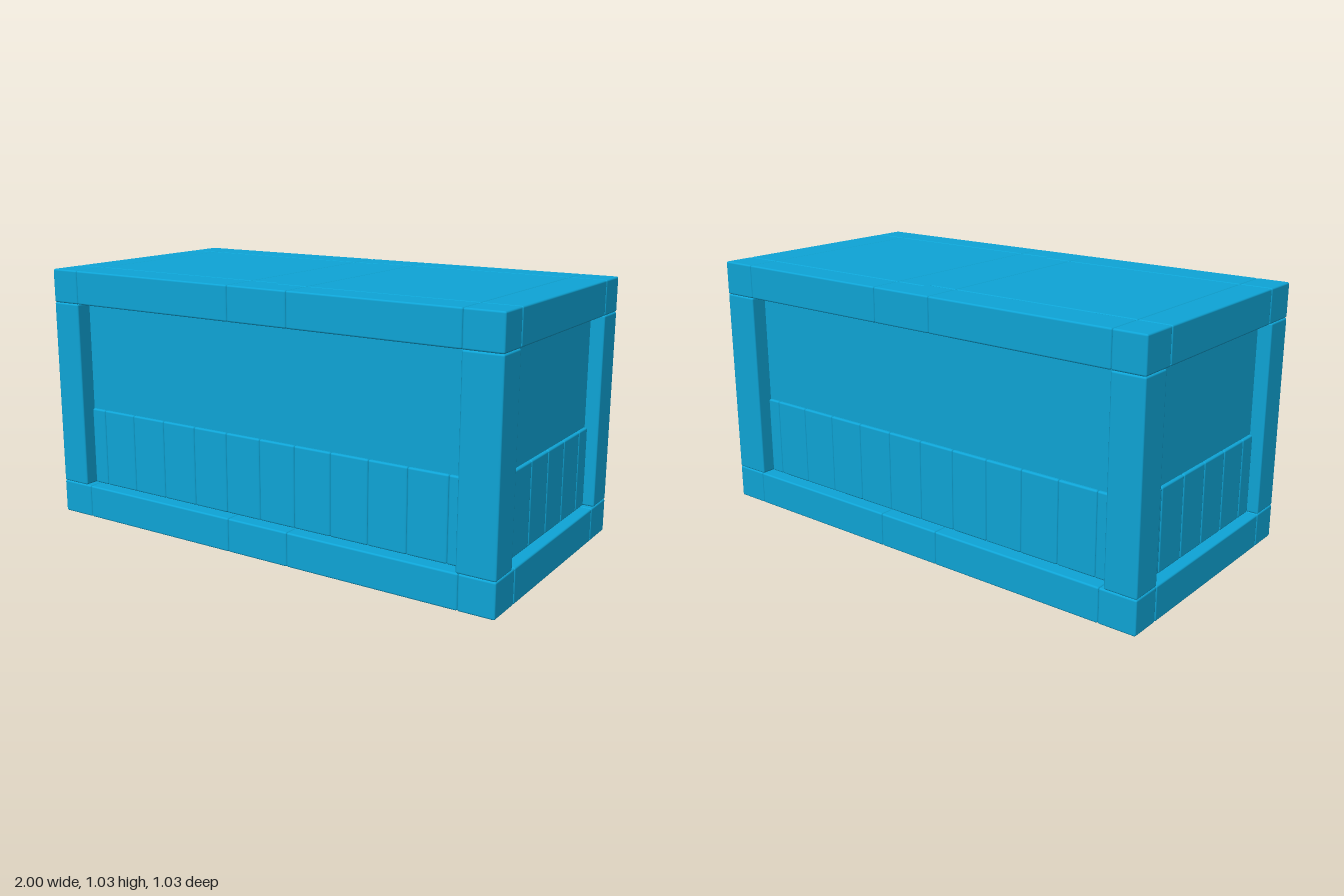
import * as THREE from 'three';
import { RoundedBoxGeometry } from 'three/addons/geometries/RoundedBoxGeometry.js';

const material = new THREE.MeshStandardMaterial({ color: 0x0ea5d7 });
const HALF_Z = 0.515, BASE_TOP = 0.135, BEAM_BOTTOM = 0.897, TOP = 1.033;
const PLANK_TOP = 0.455, BEVEL = 0.007;

export function createModel() {
  const model = new THREE.Group();

  // Block with softened edges, given by its extents on each axis
  function block(parent, name, [x0, x1], [y0, y1], [z0, z1], bevel = BEVEL) {
    const size = [x1 - x0, y1 - y0, z1 - z0];
    const geometry = bevel ? new RoundedBoxGeometry(...size, 2, bevel) : new THREE.BoxGeometry(...size);
    const mesh = new THREE.Mesh(geometry, material);
    mesh.name = name;
    mesh.position.set((x0 + x1) / 2, (y0 + y1) / 2, (z0 + z1) / 2);
    parent.add(mesh);
  }

  function group(name) {
    const g = new THREE.Group();
    g.name = name;
    model.add(g);
    return g;
  }

  // Slab of tiled blocks: each column is [x0, x1, z of the seams]
  function slab(name, columns, y) {
    const g = group(name);
    for (const [x0, x1, seam] of columns) {
      block(g, 'backEdgeBlock', [x0, x1], y, [-HALF_Z, -seam]);
      block(g, 'middleBlock', [x0, x1], y, [-seam, seam]);
      block(g, 'frontEdgeBlock', [x0, x1], y, [seam, HALF_Z]);
    }
  }

  // The halves overlap in the centre column, so no seam shows there
  slab('base', [
    [-1, -0.85, 0.385], [-0.85, -0.12, 0.385], [-0.12, 0.03, 0.385],
    [0.005, 0.155, 0.363], [0.155, 0.86, 0.363], [0.86, 1, 0.363],
  ], [0, BASE_TOP]);
  slab('roof', [
    [-1, -0.87, 0.363], [-0.87, -0.105, 0.363], [-0.105, 0.03, 0.363],
    [0.005, 0.16, 0.385], [0.16, 0.85, 0.385], [0.85, 1, 0.385],
  ], [BEAM_BOTTOM, TOP]);

  // Corner pillars
  const pillars = group('pillars');
  for (const x of [[-1, -0.87], [0.85, 1]])
    for (const z of [[-HALF_Z, -0.385], [0.385, HALF_Z]])
      block(pillars, 'pillar', x, [BASE_TOP, BEAM_BOTTOM], z);

  // Recessed walls
  const wallX = 0.945, wallZ = 0.45, plankDepth = 0.012;
  block(model, 'walls', [-wallX, wallX], [BASE_TOP - 0.01, BEAM_BOTTOM + 0.01], [-wallZ, wallZ], 0);

  // Wainscot planks along all four walls
  const planks = group('planks');
  const height = [BASE_TOP, PLANK_TOP];
  const cutsX = [-0.87];
  for (let i = 0; i <= 10; i++) cutsX.push(-0.8 + i * 0.159);
  cutsX.push(0.85);
  const cutsZ = [-0.385, -0.3, -0.149, 0.002, 0.153, 0.304, 0.385];
  for (const side of [-1, 1]) {
    // Thickness range of a plank, half sunk into its wall
    const range = (wall) => [side * wall - plankDepth, side * wall + plankDepth];
    for (let i = 0; i + 1 < cutsX.length; i++)
      block(planks, side > 0 ? 'frontPlank' : 'backPlank', [cutsX[i], cutsX[i + 1]], height, range(wallZ));
    for (let i = 0; i + 1 < cutsZ.length; i++)
      block(planks, side > 0 ? 'leftPlank' : 'rightPlank', range(wallX), height, [cutsZ[i], cutsZ[i + 1]]);
  }
  return model;
}
